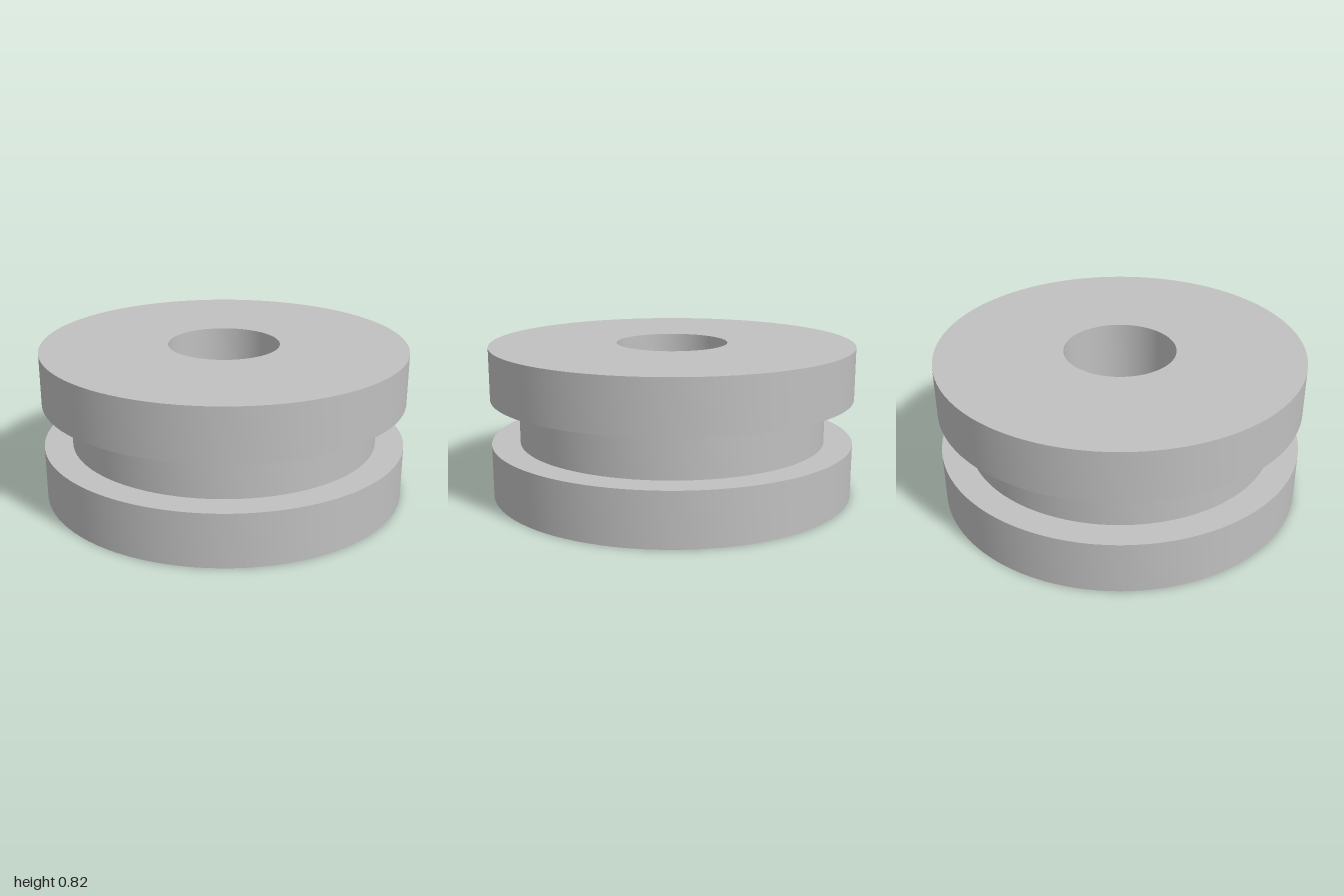
import * as THREE from 'three';
import { toCreasedNormals } from 'three/addons/utils/BufferGeometryUtils.js';

const R = 1, GROOVE_R = 0.845, BORE_R = 0.305;
const LOW = 0.29, HIGH = 0.54, TOP = 0.823;

export function createModel() {
  const group = new THREE.Group();
  group.name = 'groovedWheel';
  const grey = new THREE.MeshStandardMaterial({ color: 0xc0c0c0 });
  grey.name = 'plain grey';

  // Revolves a [radius, height] profile, smooth around and sharp at the rims
  const turn = (name, profile) => {
    const points = profile.map(([r, y]) => new THREE.Vector2(r, y));
    const geometry = toCreasedNormals(new THREE.LatheGeometry(points, 96), Math.PI / 6);
    const mesh = new THREE.Mesh(geometry, grey);
    mesh.name = name;
    group.add(mesh);
  };

  // Solid disc at the bottom
  turn('lowerFlange', [[0, 0], [R, 0], [R, LOW], [GROOVE_R, LOW]]);
  // Recessed wall between the flanges
  turn('grooveCore', [[GROOVE_R, LOW], [GROOVE_R, HIGH]]);
  // Ring at the top
  turn('upperFlange', [[GROOVE_R, HIGH], [R, HIGH], [R, TOP], [BORE_R, TOP]]);
  // Blind hole, closed by the lower disc
  turn('bore', [[BORE_R, TOP], [BORE_R, LOW], [0, LOW]]);

  return group;
}
